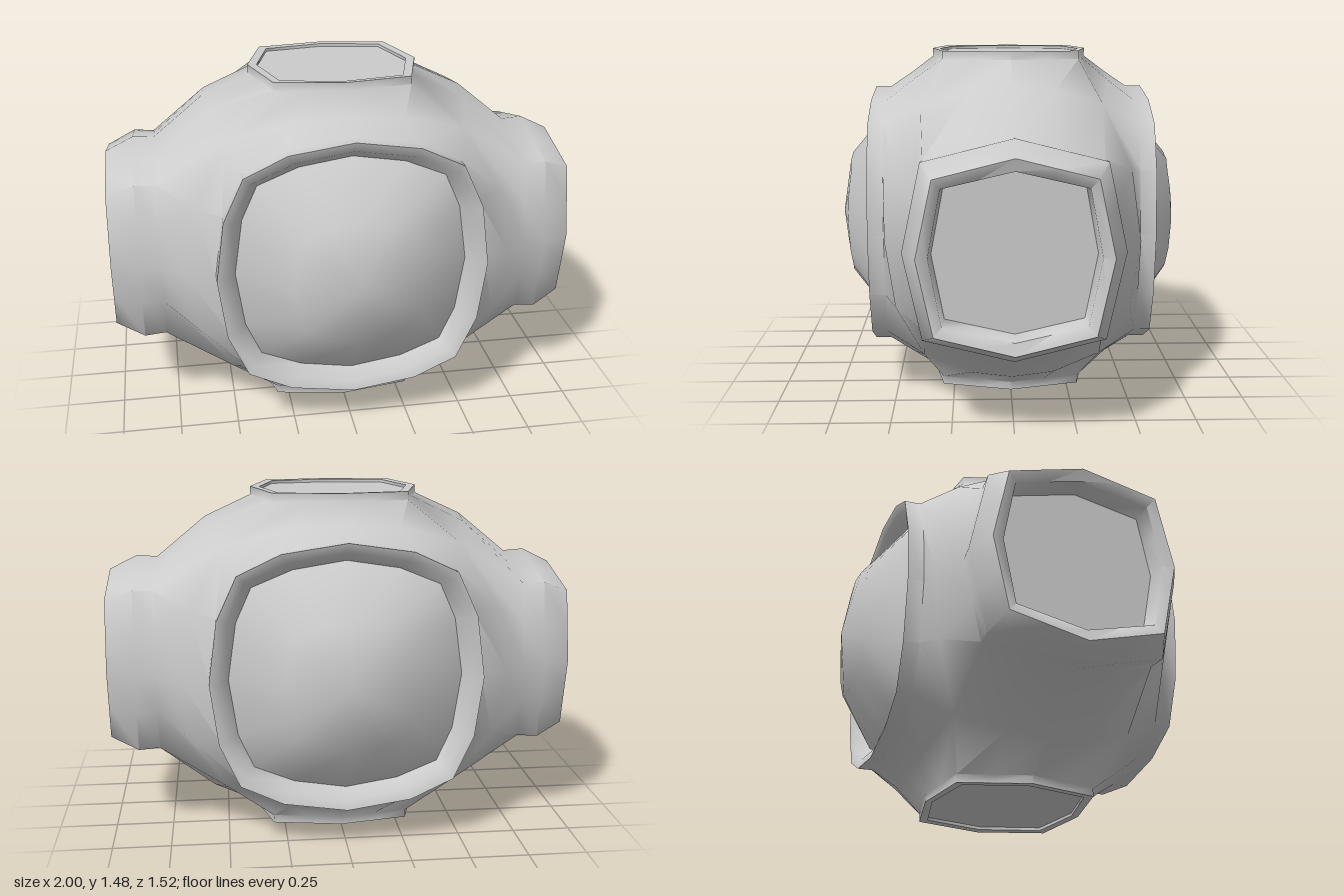
import * as THREE from 'three';
import { toCreasedNormals } from 'three/addons/utils/BufferGeometryUtils.js';

const N = 16;                          // points round every opening
const CENTRE_Y = 0.74;
const RADII = [0.937, 0.773, 0.76];    // ellipsoid the hull skin follows
const HALF = [0.6, 0.64, 0.45];        // box whose edges divide the six sides

// Sides: local (u, v, outward w) to model axes
const SIDES = {
  front: (u, v, w) => [u, v, w],
  back: (u, v, w) => [-u, v, -w],
  left: (u, v, w) => [w, v, -u],
  right: (u, v, w) => [-w, v, u],
  top: (u, v, w) => [u, w, -v],
  bottom: (u, v, w) => [u, -w, v],
};

// Mirror a quarter outline of five points into a closed ring
function outline(quarter) {
  const ring = [];
  for (let i = 0; i < N; i++) {
    const q = Math.floor(i / 4), k = i % 4;
    const [x, y] = quarter[q % 2 ? 4 - k : k];
    ring.push([q === 1 || q === 2 ? -x : x, q >= 2 ? -y : y]);
  }
  return ring;
}
// Rounded-square octagon given its two half widths and its corner
function octagon(a, b, cu, cv) {
  return outline([[a, 0], [(a + cu) / 2, cv / 2], [cu, cv], [cu / 2, (b + cv) / 2], [0, b]]);
}
// Row of points: outline scaled by s at height w (number or function of u, v)
function row(ring, s, w) {
  return ring.map(([u, v]) => [u * s, v * s, typeof w === 'function' ? w(u * s, v * s) : w]);
}
// Edge shared with the neighbouring sides, laid on the ellipsoid
function sideEdge(map) {
  const extent = (d) => Math.abs(map(...d).reduce((sum, c, i) => sum + c * HALF[i], 0));
  const size = [[1, 0, 0], [0, 1, 0], [0, 0, 1]].map(extent);
  const edge = [];
  for (let i = 0; i < N; i++) {
    const a = (i / N) * Math.PI * 2, c = Math.cos(a), s = Math.sin(a);
    const m = Math.max(Math.abs(c), Math.abs(s));
    const p = [(c / m) * size[0], (s / m) * size[1], size[2]];
    const f = Math.hypot(...map(...p).map((x, j) => x / RADII[j]));
    edge.push(p.map((x) => x / f));
  }
  return edge;
}
// Skin consecutive rows, from the outside inwards
function skin(rows, map, out) {
  const put = (p) => {
    const [x, y, z] = map(...p);
    out.push(x, y + CENTRE_Y, z);
  };
  for (let r = 0; r + 1 < rows.length; r++) {
    const a = rows[r], b = rows[r + 1];
    const point = Math.hypot(b[0][0], b[0][1]) < 1e-6;
    for (let i = 0; i < N; i++) {
      const j = (i + 1) % N;
      [a[i], a[j], b[j]].forEach(put);
      if (!point) [a[i], b[j], b[i]].forEach(put);
    }
  }
}
function makeMesh(name, positions, crease) {
  const geometry = new THREE.BufferGeometry();
  geometry.setAttribute('position', new THREE.Float32BufferAttribute(positions, 3));
  const mesh = new THREE.Mesh(
    toCreasedNormals(geometry, crease),
    new THREE.MeshStandardMaterial({ color: 0xcccccc, side: THREE.DoubleSide })
  );
  mesh.name = name;
  return mesh;
}

const windowOuter = outline([[0.57, 0], [0.535, 0.26], [0.45, 0.445], [0.27, 0.53], [0, 0.57]]);
const windowInner = outline([[0.49, 0], [0.455, 0.24], [0.39, 0.385], [0.22, 0.455], [0, 0.49]]);
const portOuter = octagon(0.435, 0.44, 0.36, 0.35);
const portInner = octagon(0.33, 0.33, 0.28, 0.265);
const hatchOuter = octagon(0.37, 0.34, 0.29, 0.29);
const hatchInner = octagon(0.33, 0.31, 0.26, 0.26);

// Framed window with a bulging dome
function windowParts() {
  const rim = windowOuter.map(([u, v], i) => [(u + windowInner[i][0]) / 2, (v + windowInner[i][1]) / 2]);
  const sphere = (u, v) => Math.sqrt(0.76 ** 2 - u * u - v * v);
  return {
    frame: [row(windowOuter, 1, 0.53), row(windowOuter, 1, 0.597), row(rim, 1, 0.585), row(windowInner, 1, 0.525)],
    cover: [row(windowInner, 1, 0.525), row(windowInner, 0.55, sphere), row(windowInner, 0, 0.758)],
    coverName: 'WindowDome',
  };
}
// Bulged docking port with a recessed panel
function portParts() {
  return {
    frame: [row(portOuter, 0.985, 0.79), row(portOuter, 1, 0.88), row(portOuter, 0.865, 1),
      row(portInner, 1, 0.985), row(portInner, 0.97, 0.9)],
    cover: [row(portInner, 0.97, 0.9), row(portInner, 0, 0.9)],
    coverName: 'PortPanel',
  };
}
// Low collar with a nearly flush hatch
function hatchParts(s) {
  return {
    frame: [row(hatchOuter, s, 0.705), row(hatchOuter, s, 0.74), row(hatchInner, s, 0.738), row(hatchInner, s, 0.725)],
    cover: [row(hatchInner, s, 0.725), row(hatchInner, 0, 0.725)],
    coverName: 'Hatch',
  };
}

export function createModel() {
  const group = new THREE.Group();
  group.name = 'stationNode';
  const parts = {
    front: windowParts(), back: windowParts(),
    left: portParts(), right: portParts(),
    top: hatchParts(1), bottom: hatchParts(1.03),
  };
  const hull = [];
  for (const [side, map] of Object.entries(SIDES)) {
    const { frame, cover, coverName } = parts[side];
    skin([sideEdge(map), ...frame], map, hull);
    const positions = [];
    skin(cover, map, positions);
    group.add(makeMesh(side + coverName, positions, 1.2));
  }
  group.add(makeMesh('hull', hull, 1.15));
  return group;
}
